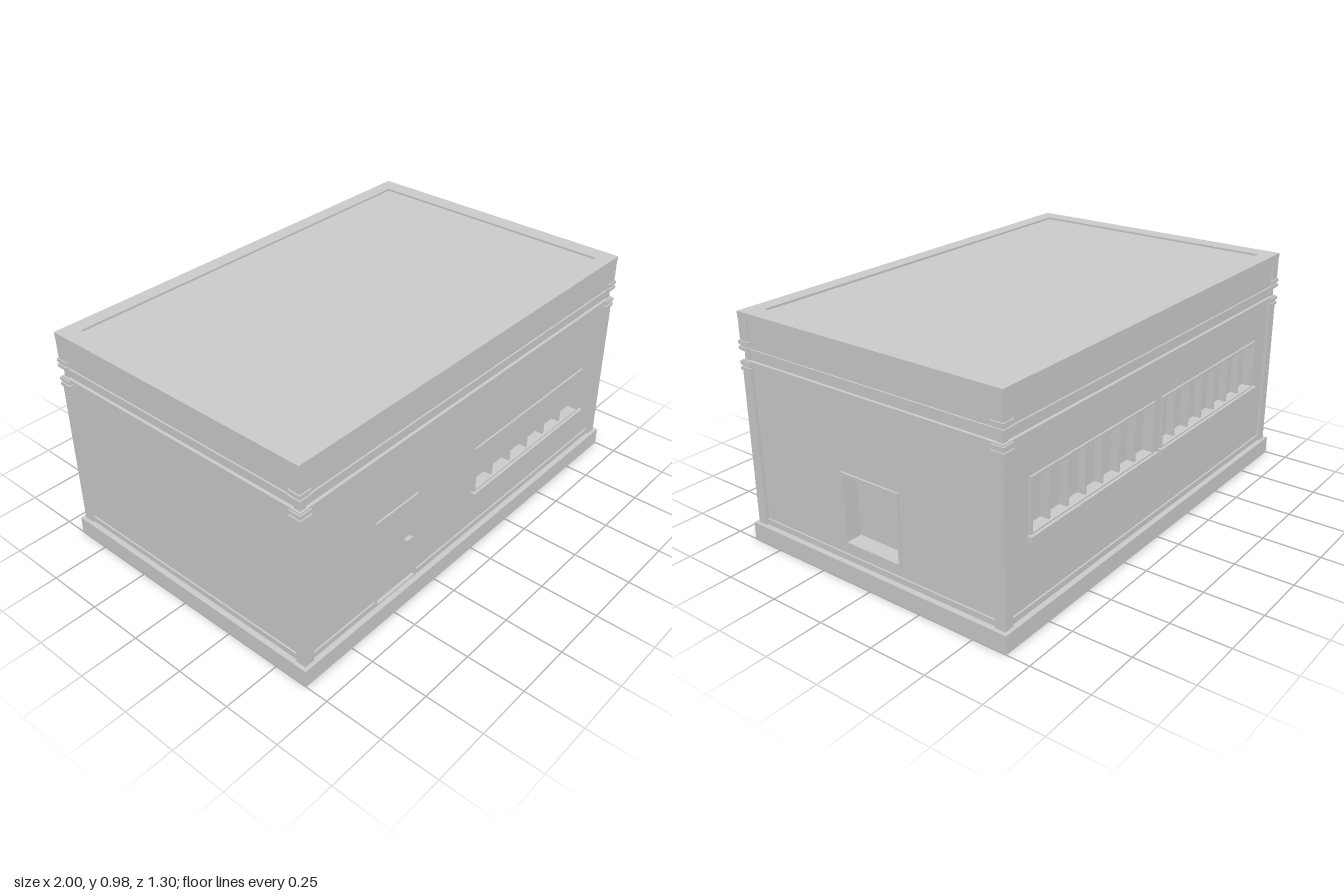
import * as THREE from 'three';

const material = new THREE.MeshStandardMaterial({ color: 0xcccccc, flatShading: true });
const X = 0.97, Z = 0.62; // wall planes
const T = 0.025;          // wall thickness

// Box given by its limits on each axis
function box(parent, name, x0, x1, y0, y1, z0, z1) {
  const mesh = new THREE.Mesh(new THREE.BoxGeometry(x1 - x0, y1 - y0, z1 - z0), material);
  mesh.position.set((x0 + x1) / 2, (y0 + y1) / 2, (z0 + z1) / 2);
  mesh.name = name;
  parent.add(mesh);
  return mesh;
}

// Four bars around an opening
function border(parent, name, [x0, x1, y0, y1], w, z0, z1) {
  box(parent, name, x0 - w, x0, y0 - w, y1 + w, z0, z1);
  box(parent, name, x1, x1 + w, y0 - w, y1 + w, z0, z1);
  box(parent, name, x0, x1, y1, y1 + w, z0, z1);
  box(parent, name, x0, x1, y0 - w, y0, z0, z1);
}

// One facade in a local frame: x along the wall, z outward, wall face at z = 0
function facade(name, half, plane, angle, openings = []) {
  const g = new THREE.Group();
  g.name = name;
  g.rotation.y = angle;
  g.position.set(Math.sin(angle) * plane, 0, Math.cos(angle) * plane);

  const shape = new THREE.Shape();
  shape.moveTo(-half, 0.01).lineTo(half, 0.01).lineTo(half, 0.96).lineTo(-half, 0.96).closePath();
  for (const [x0, x1, y0, y1] of openings) {
    const hole = new THREE.Path();
    hole.moveTo(x0, y0).lineTo(x0, y1).lineTo(x1, y1).lineTo(x1, y0).closePath();
    shape.holes.push(hole);
  }
  const wall = new THREE.Mesh(new THREE.ExtrudeGeometry(shape, { depth: T, bevelEnabled: false }), material);
  wall.position.z = -T;
  wall.name = 'wall';
  g.add(wall);

  // Cornice strips either side of the groove
  box(g, 'corniceStrip', -half, half, 0.77, 0.783, -0.005, 0.013);
  box(g, 'corniceStrip', -half, half, 0.82, 0.833, -0.005, 0.013);
  box(g, 'fascia', -half, half, 0.833, 0.956, -0.005, 0.006);
  return g;
}

// Recessed window with mullions, and a sill for window bands
function windowBand(parent, opening, panes, depth, sill) {
  const g = new THREE.Group();
  g.name = 'window';
  parent.add(g);
  const [x0, x1, y0, y1] = opening;
  border(g, 'windowFrame', opening, 0.011, -depth, 0.008);
  box(g, 'pane', x0, x1, y0, y1, -depth, -depth + 0.006);
  for (let i = 1; i < panes; i++) {
    const x = x0 + (x1 - x0) * i / panes;
    box(g, 'mullion', x - 0.005, x + 0.005, y0, y1, -depth, -0.004);
  }
  if (sill) box(g, 'sill', x0 - 0.022, x1 + 0.028, y0 - 0.032, y0 - 0.006, -depth, 0.02);
}

export function createModel() {
  const model = new THREE.Group();
  model.name = 'building';

  // Hollow plinth
  const plinth = new THREE.Group();
  plinth.name = 'plinth';
  model.add(plinth);
  for (const s of [-1, 1]) {
    const a = box(plinth, 'plinthLong', -1, 1, 0, 0.077, -0.025, 0.025);
    a.position.z = s * 0.625;
    const b = box(plinth, 'plinthShort', -0.025, 0.025, 0, 0.077, -0.6, 0.6);
    b.position.x = s * 0.975;
  }

  const doorHole = [-0.58, -0.355, 0.085, 0.475];
  const frontWindow = [0.035, 0.81, 0.275, 0.475];
  const backWindows = [[-0.82, -0.035, 0.39, 0.595], [0.04, 0.825, 0.39, 0.595]];
  const sideWindow = [-0.13, 0.135, 0.157, 0.44];

  // Front wall with door and a band of six panes
  const front = facade('frontWall', X, Z, 0, [doorHole, frontWindow]);
  windowBand(front, frontWindow, 6, 0.045, true);
  box(front, 'baseboard', -X, -0.591, 0.075, 0.102, -0.005, 0.007);
  box(front, 'baseboard', -0.344, X, 0.075, 0.102, -0.005, 0.007);
  const door = new THREE.Group();
  door.name = 'door';
  front.add(door);
  const [dx0, dx1, dy0, dy1] = doorHole;
  box(door, 'doorLeaf', dx0, dx1, dy0, dy1, -0.025, -0.006);
  border(door, 'doorFrame', doorHole, 0.01, -0.032, 0.008);
  border(door, 'doorPaneFrame', [-0.52, -0.42, 0.34, 0.42], 0.01, -0.032, -0.02);
  box(door, 'handle', -0.41, -0.375, 0.285, 0.293, -0.01, 0.012);
  box(door, 'hinge', -0.58, -0.572, 0.27, 0.292, -0.01, 0.004);

  // Back wall with two bands of seven panes
  const back = facade('backWall', X, Z, Math.PI, backWindows);
  for (const w of backWindows) windowBand(back, w, 7, 0.045, true);

  // Side walls, one with a square deep window
  const left = facade('leftWall', 0.6, X, Math.PI / 2, [sideWindow]);
  windowBand(left, sideWindow, 1, 0.07, false);
  const right = facade('rightWall', 0.6, X, -Math.PI / 2);

  box(back, 'baseboard', -X, X, 0.075, 0.102, -0.005, 0.007);
  for (const side of [left, right]) box(side, 'baseboard', -0.6, 0.6, 0.075, 0.102, -0.005, 0.007);
  model.add(front, back, left, right);

  // Corner pilasters, split by the cornice groove, with ringed caps
  for (const sx of [-1, 1]) for (const sz of [-1, 1]) {
    const g = new THREE.Group();
    g.name = 'cornerPilaster';
    g.position.set(sx * 0.9625, 0, sz * 0.6125);
    model.add(g);
    const post = (name, h, y0, y1) => box(g, name, -h, h, y0, y1, -h, h);
    post('shaft', 0.0225, 0.07, 0.783);
    post('grooveBlock', 0.0135, 0.78, 0.822);
    post('upperShaft', 0.0225, 0.82, 0.97);
    for (const y of [0.742, 0.765, 0.825, 0.848]) post('capRing', 0.028, y, y + 0.013);
  }

  // Roof deck inside a low parapet rim
  box(model, 'roof', -0.95, 0.95, 0.945, 0.968, -0.6, 0.6);
  for (const s of [-1, 1]) {
    const a = box(model, 'parapetLong', -0.986, 0.986, 0.953, 0.977, -0.033, 0.033);
    a.position.z = s * 0.603;
    const b = box(model, 'parapetShort', -0.038, 0.038, 0.953, 0.977, -0.57, 0.57);
    b.position.x = s * 0.948;
  }
  return model;
}
